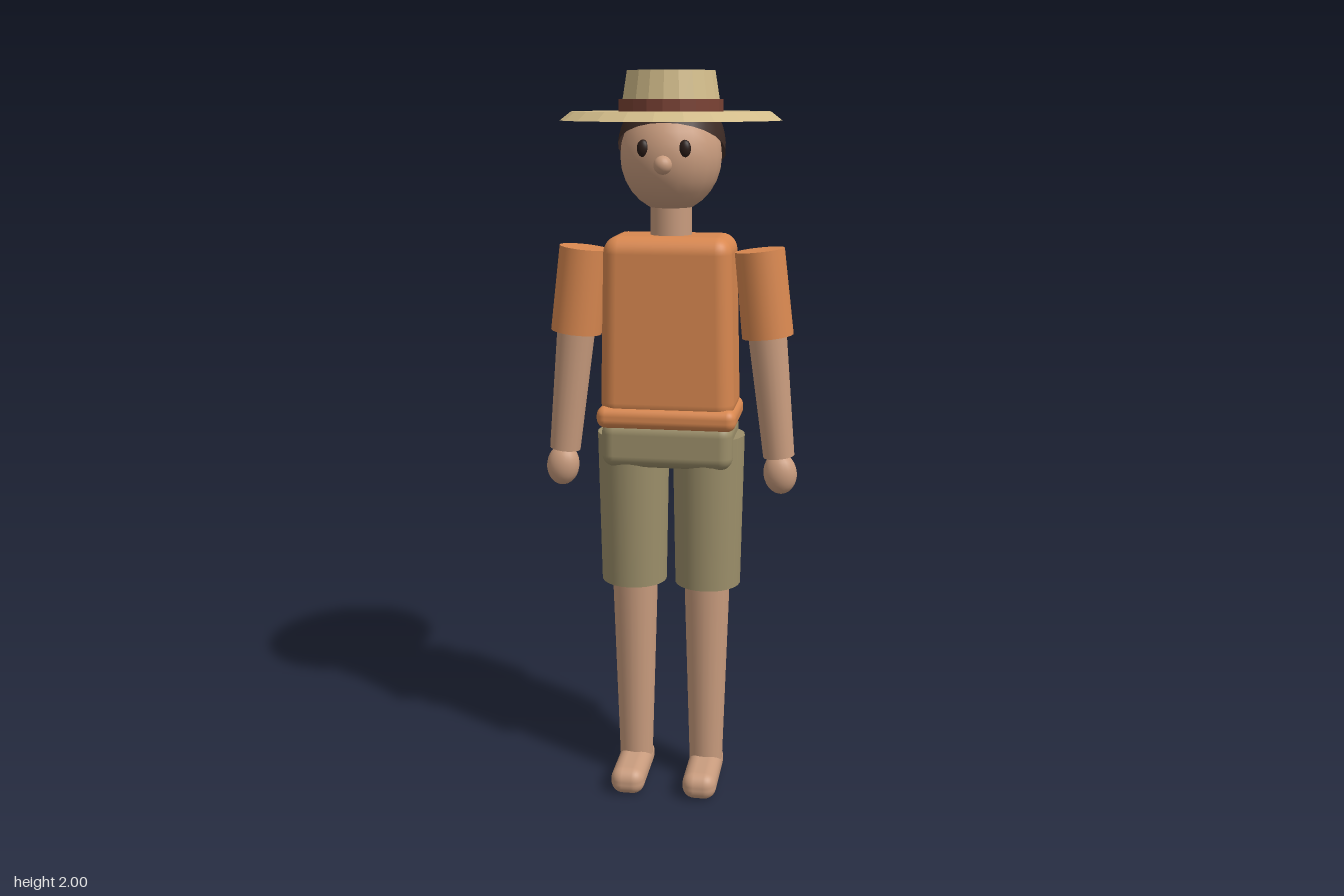
import * as THREE from 'three';
import { RoundedBoxGeometry } from 'three/addons/geometries/RoundedBoxGeometry.js';

export function createModel() {
  const model = new THREE.Group();
  model.name = 'hikerFigure';

  const paint = (name, color) => {
    const m = new THREE.MeshStandardMaterial({ color });
    m.name = name;
    return m;
  };
  const skin = paint('skin', 0xc99c7e);
  const shirt = paint('orangeShirt', 0xd98850);
  const khaki = paint('khakiCloth', 0x9c8f6a);
  const straw = paint('straw', 0xd2bc8a);
  const band = paint('hatBand', 0x7a4234);
  const hairMat = paint('darkHair', 0x3d2b25);
  const eyeMat = paint('eyeDark', 0x2a1c18);
  straw.flatShading = true;
  band.flatShading = true;
  hairMat.side = THREE.DoubleSide;

  const add = (parent, name, geometry, material, x = 0, y = 0, z = 0) => {
    const mesh = new THREE.Mesh(geometry, material);
    mesh.name = name;
    mesh.position.set(x, y, z);
    parent.add(mesh);
    return mesh;
  };
  // Upright cylinder spanning y0 to y1
  const column = (parent, name, material, rTop, rBottom, y0, y1, x = 0, sides = 20, z = 0) =>
    add(parent, name, new THREE.CylinderGeometry(rTop, rBottom, y1 - y0, sides), material, x, (y0 + y1) / 2, z);
  const ellipsoid = (parent, name, material, rx, ry, rz, x, y, z) => {
    const mesh = add(parent, name, new THREE.SphereGeometry(1, 20, 14), material, x, y, z);
    mesh.scale.set(rx, ry, rz);
    return mesh;
  };

  // Torso: rounded box narrowing slightly toward the shoulders
  const torso = new RoundedBoxGeometry(0.364, 0.49, 0.214, 4, 0.045);
  const p = torso.attributes.position;
  for (let i = 0; i < p.count; i++) {
    const t = (p.getY(i) + 0.245) / 0.49;
    p.setX(i, p.getX(i) * (1.01 - 0.07 * t));
  }
  add(model, 'torso', torso, shirt, 0, 1.333, 0);
  add(model, 'shirtHem', new RoundedBoxGeometry(0.38, 0.06, 0.234, 4, 0.025), shirt, 0, 1.092, 0);
  add(model, 'hips', new RoundedBoxGeometry(0.36, 0.13, 0.214, 4, 0.035), khaki, 0, 1.015, 0);

  // Head and face
  column(model, 'neck', skin, 0.056, 0.056, 1.55, 1.67);
  ellipsoid(model, 'head', skin, 0.135, 0.147, 0.137, 0, 1.784, 0);
  ellipsoid(model, 'nose', skin, 0.024, 0.024, 0.024, 0, 1.765, 0.14);

  // Hair: half shell tipped toward the back of the head
  const hair = add(model, 'hair',
    new THREE.SphereGeometry(1, 24, 12, 0, Math.PI * 2, 0, Math.PI / 2), hairMat, 0, 1.8, -0.012);
  hair.scale.set(0.143, 0.17, 0.148);
  hair.rotation.x = -0.49;

  // Hat
  const hat = new THREE.Group();
  hat.name = 'hat';
  model.add(hat);
  column(hat, 'hatBrim', straw, 0.262, 0.292, 1.874, 1.897, 0, 24);
  column(hat, 'hatCrown', straw, 0.116, 0.134, 1.89, 2, 0, 20);
  column(hat, 'hatBand', band, 0.138, 0.138, 1.895, 1.928, 0, 20);

  // Mirrored parts
  for (const [side, s] of [['left', 1], ['right', -1]]) {
    ellipsoid(model, side + 'Eye', eyeMat, 0.016, 0.022, 0.012, s * 0.054, 1.806, 0.121);

    // Arm hangs from the shoulder, leaning outward
    const arm = new THREE.Group();
    arm.name = side + 'Arm';
    arm.position.set(s * 0.238, 1.54, 0);
    arm.rotation.z = s * 0.11;
    model.add(arm);
    column(arm, side + 'Sleeve', shirt, 0.067, 0.07, -0.232, 0);
    column(arm, side + 'Forearm', skin, 0.053, 0.043, -0.565, -0.2, 0, 20, 0.006);
    ellipsoid(arm, side + 'Hand', skin, 0.046, 0.058, 0.04, 0, -0.612, 0.014);

    // Leg
    column(model, side + 'ShortsLeg', khaki, 0.1, 0.092, 0.603, 1.034, s * 0.105, 24);
    column(model, side + 'LowerLeg', skin, 0.066, 0.048, 0.055, 0.65, s * 0.103);
    add(model, side + 'Foot', new RoundedBoxGeometry(0.096, 0.077, 0.238, 4, 0.034), skin, s * 0.103, 0.0385, 0.056);
  }
  return model;
}
